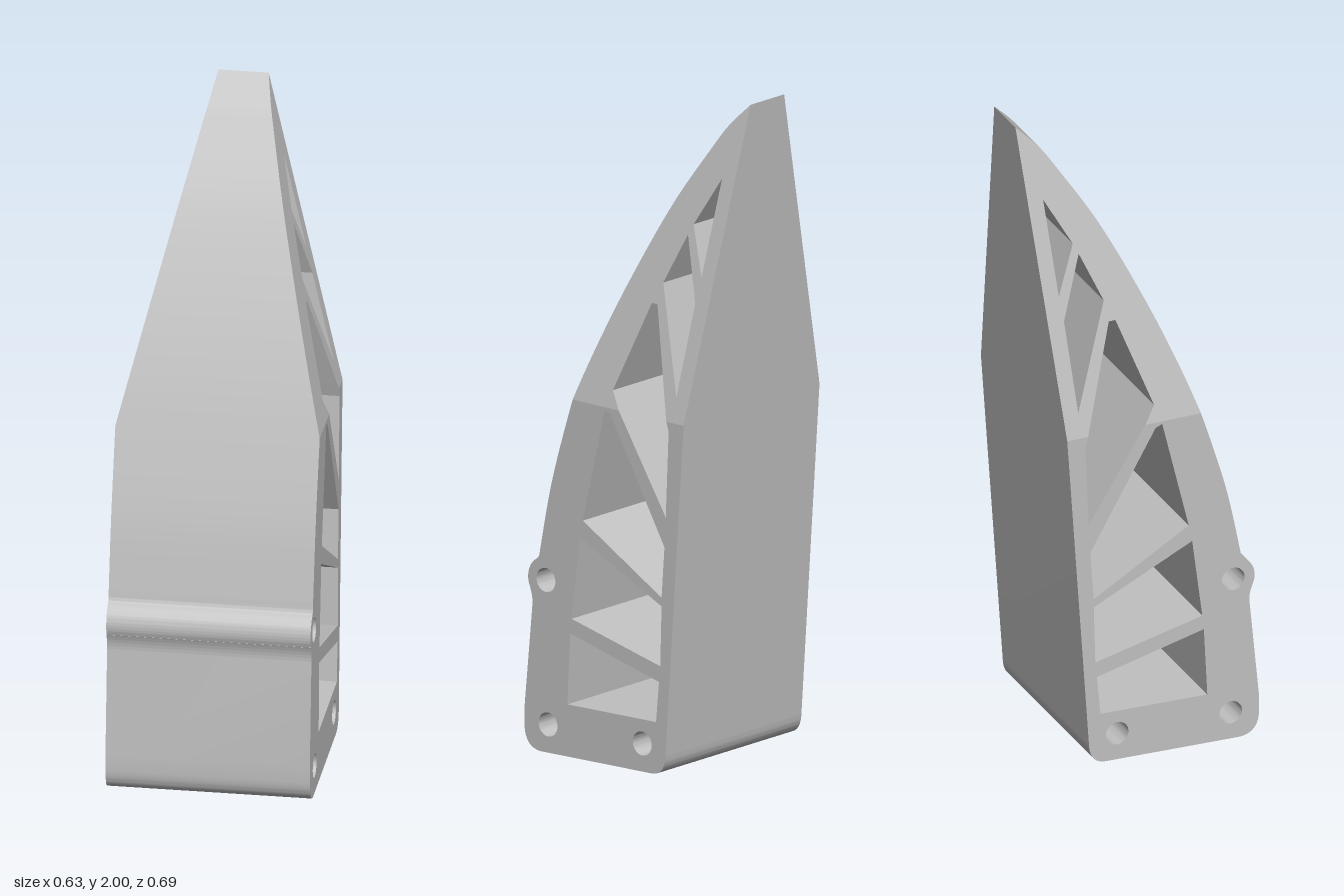
import * as THREE from 'three';
import { mergeGeometries, toCreasedNormals } from 'three/addons/utils/BufferGeometryUtils.js';

const CREASE = 1.075; // height where the sides start to taper
const halfWidth = y => (y <= CREASE ? 0.298 : 0.298 - 0.225 * (y - CREASE) / (2 - CREASE));

const V = pts => pts.map(([z, y]) => new THREE.Vector2(z, y));

// Extrude a (z, y) profile across the width, tapering by height,
// leaving out the faces on the seam between the two halves
function slab(shape) {
  const g = new THREE.ExtrudeGeometry(shape, { depth: 1, bevelEnabled: false, curveSegments: 16 });
  g.translate(0, 0, -0.5).rotateY(-Math.PI / 2);
  const p = g.attributes.position;
  const out = [];
  for (let i = 0; i < p.count; i += 3) {
    const tri = [i, i + 1, i + 2];
    if (tri.every(k => Math.abs(p.getY(k) - CREASE) < 1e-4)) continue;
    for (const k of tri) out.push(p.getX(k) * 2 * halfWidth(p.getY(k)), p.getY(k), p.getZ(k));
  }
  const r = new THREE.BufferGeometry();
  r.setAttribute('position', new THREE.Float32BufferAttribute(out, 3));
  return r;
}

export function createModel() {
  const group = new THREE.Group();
  const grey = new THREE.MeshStandardMaterial({ color: 0xc0c0c0 });
  grey.name = 'light grey';

  // Curved front edge, third control point lies on the crease
  const front = new THREE.SplineCurve(V([
    [0.272, 0.6], [0.225, 0.82], [0.147, CREASE], [0.077, 1.27], [-0.008, 1.471],
    [-0.112, 1.683], [-0.22, 1.857], [-0.272, 1.932], [-0.338, 2],
  ])).getPoints(64);
  const backAtCrease = -0.277;

  // Lower half: rounded foot, bolt bump, front curve, notch of the split opening
  const lower = new THREE.Shape();
  lower.moveTo(-0.155, 0.012);
  lower.lineTo(0.265, 0);
  lower.quadraticCurveTo(0.329, 0, 0.331, 0.07);
  lower.lineTo(0.331, 0.12);
  lower.lineTo(0.301, 0.43);
  lower.quadraticCurveTo(0.298, 0.458, 0.311, 0.487);
  lower.absarc(0.249, 0.516, 0.068, -0.436, 1.047, false);
  lower.quadraticCurveTo(0.274, 0.58, 0.272, 0.6);
  for (const q of front.slice(1, 17)) lower.lineTo(q.x, q.y);
  for (const q of V([[-0.029, CREASE], [-0.209, 0.788], [-0.22, 1.048], [-0.211, CREASE],
    [backAtCrease, CREASE], [-0.208, 0.075]])) lower.lineTo(q.x, q.y);
  lower.quadraticCurveTo(-0.205, 0.014, -0.155, 0.012);

  const lowerOpenings = [
    [[0.167, 0.159], [-0.172, 0.169], [-0.183, 0.291], [0.156, 0.373]],
    [[0.151, 0.418], [-0.188, 0.339], [-0.193, 0.519], [0.119, 0.667]],
    [[0.108, 0.72], [0.024, 1.067], [0.003, 1.058], [-0.204, 0.698], [-0.193, 0.545]],
  ];
  for (const o of lowerOpenings) lower.holes.push(new THREE.Path(V(o)));

  // Bolt holes
  for (const [z, y] of [[0.249, 0.516], [0.241, 0.085], [-0.119, 0.095]]) {
    lower.holes.push(new THREE.Path().absarc(z, y, 0.036, 0, Math.PI * 2, true));
  }

  // Upper half, tapering to the tip
  const upper = new THREE.Shape([
    ...front.slice(16),
    ...V([[backAtCrease, CREASE], [-0.211, CREASE], [-0.11, 1.392], [-0.089, 1.392],
      [0.004, 1.127], [-0.029, CREASE]]),
  ]);
  const upperOpenings = [
    [[-0.119, 1.455], [-0.182, 1.603], [-0.249, 1.418], [-0.234, 1.148]],
    [[-0.197, 1.635], [-0.275, 1.778], [-0.257, 1.492]],
  ];
  for (const o of upperOpenings) upper.holes.push(new THREE.Path(V(o)));

  const geometry = toCreasedNormals(mergeGeometries([slab(lower), slab(upper)]), 0.22);
  const body = new THREE.Mesh(geometry, grey);
  body.name = 'trussedBlade';
  body.rotation.y = -0.053;
  group.add(body);
  return group;
}
